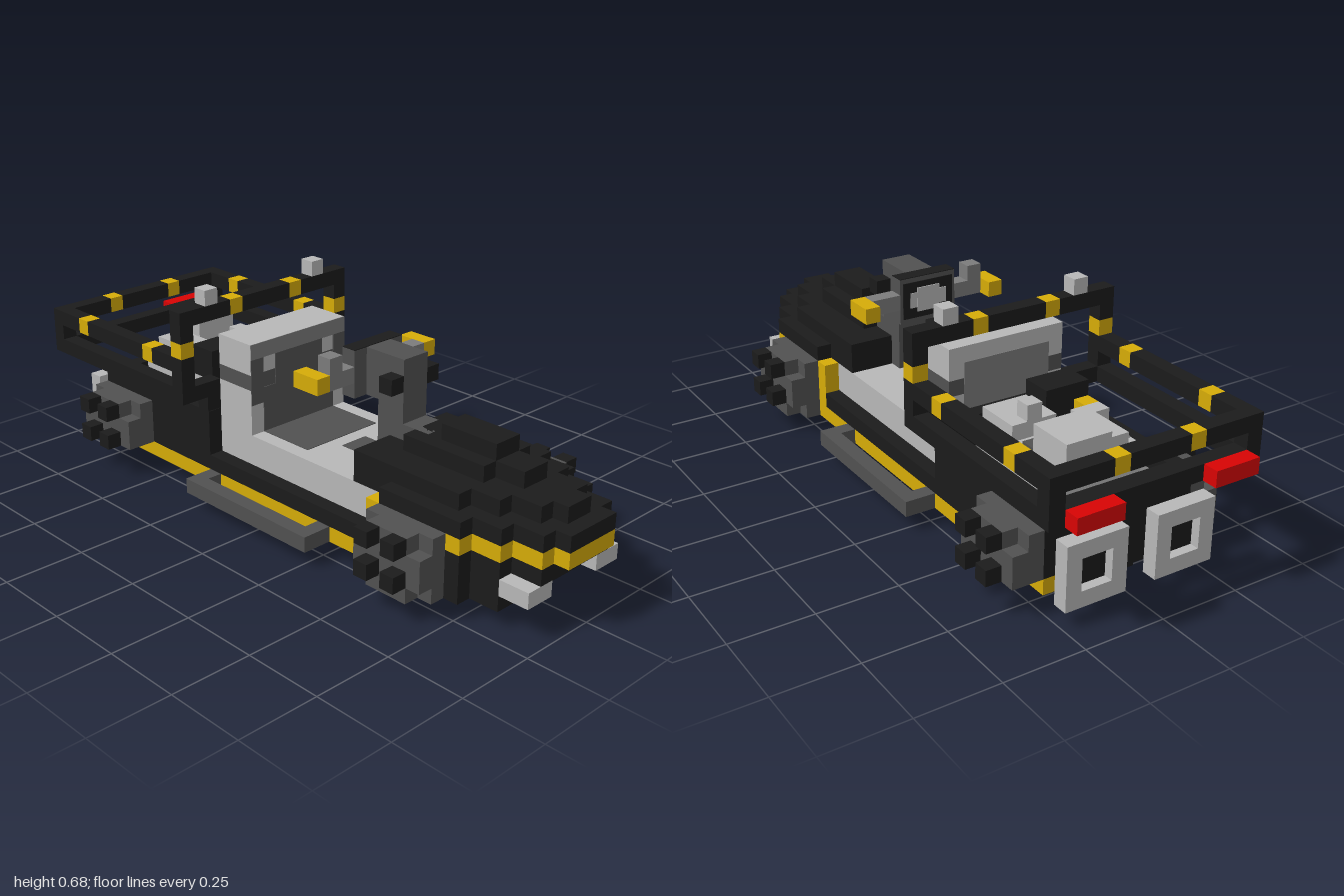
import * as THREE from 'three';

const V = 2 / 41; // edge of one block
const mat = (name, color) => {
  const m = new THREE.MeshStandardMaterial({ color });
  m.name = name;
  return m;
};

export function createModel() {
  const root = new THREE.Group();
  root.name = 'hoverBike';
  const black = mat('black', 0x1b1b1b), yellow = mat('yellow', 0xd6ac08);
  const dark = mat('darkGrey', 0x515151), mid = mat('midGrey', 0x7c7c7c);
  const light = mat('lightGrey', 0xb8b8b8), red = mat('red', 0xd80404);

  // Box from block coordinates; z counts from the tail (0) to the nose (41)
  const box = (name, m, x0, x1, y0, y1, z0, z1) => {
    const g = new THREE.BoxGeometry((x1 - x0) * V, (y1 - y0) * V, (z1 - z0) * V);
    const o = new THREE.Mesh(g, m);
    o.name = name;
    o.position.set((x0 + x1) / 2 * V, (y0 + y1) / 2 * V, ((z0 + z1) / 2 - 20.5) * V);
    root.add(o);
  };
  const pair = (name, m, x0, x1, ...r) => {
    box(name, m, x0, x1, ...r);
    box(name, m, -x1, -x0, ...r);
  };
  // Stepped nose layer: side strips shorten away from the middle
  const layer = (name, m, y0, y1, z0, ends) => {
    ends.forEach(([x0, x1, z1, start]) => pair(name, m, x0, x1, y0, y1, start ?? z0, z1));
  };

  // Nose
  layer('noseBase', black, 1, 4, 30, [[0, 4, 38], [4, 5, 36]]);
  box('noseLip', black, -3, 3, 3, 4, 38, 40);
  layer('noseStripe', yellow, 4, 5, 30, [[0, 2, 41], [2, 3, 40], [3, 4, 38], [4, 5, 36]]);
  layer('hoodLower', black, 5, 6, 27, [[0, 2, 41], [2, 3, 40], [3, 4, 38], [4, 5, 36, 30]]);
  layer('hoodMiddle', black, 6, 7, 27, [[0, 1, 40], [1, 2, 39], [2, 3, 37], [3, 4, 35]]);
  layer('hoodUpper', black, 7, 8, 29, [[0, 1, 37], [1, 2, 35]]);
  box('hoodTop', black, -1, 1, 8, 9, 31, 35);
  pair('headlight', light, 2, 4, 2, 3, 38, 40);

  // Chassis floor, cross bars and painted rails
  box('floor', black, -4, 4, 2, 3, 4, 30);
  pair('sill', black, 4, 5, 2, 3, 15, 29);
  for (let z = 4; z < 30; z += 5) box('crossBar', black, -4, 4, 1, 2, z, z + 1);
  pair('rail', yellow, 4, 5, 1, 2, 4, 30);
  pair('railLining', black, 3.85, 4, 1, 2, 4, 30);
  pair('railUpright', yellow, 4, 5, 2, 5, 29, 30);
  box('skid', black, -2, 2, 0, 2, 5, 9);

  // Footrests
  pair('footrest', dark, 6, 7, 1, 2, 15, 26);
  for (const z of [15, 25]) pair('footrestArm', dark, 5, 6, 1, 2, z, z + 1);

  // Hubs with four studs each; the rear ones sit above the rail
  for (const [z, y0] of [[4, 2], [30, 1]]) {
    pair('hub', dark, 5, 6, y0, 5, z, z + 5);
    pair('hubOuter', dark, 6, 7, y0, 5, z + 1, z + 4);
    for (const e of [0, 4]) pair('hubOuterEnd', dark, 6, 7, 2, 4, z + e, z + e + 1);
    for (const dz of [1, 3]) for (const y of [2, 4]) pair('stud', black, 7, 8, y, y + 1, z + dz, z + dz + 1);
  }

  // Seat
  box('seatBase', light, -4, 4, 3, 5, 15, 29);
  box('cushion', dark, -3, 3, 5, 5.04, 18, 22);
  box('floorPad', dark, -1, 1, 5, 5.04, 23, 24);
  box('backrestLower', light, -4, 4, 5, 8, 15, 18);
  box('backrestBand', dark, -4, 4, 8, 9, 15, 18);
  box('backrestUpper', light, -4, 4, 9, 11, 15, 18);
  box('backrestPad', dark, -3, 3, 5, 8, 18, 18.05);
  pair('backrestPadSide', dark, 3, 4, 7, 10, 18, 18.05);
  box('backrestPadCentre', dark, -2, 2, 8, 10, 18, 18.05);
  box('backrestTopPad', mid, -4, 4, 10, 11, 18, 18.05);
  box('backrestRear', mid, -3, 3, 7, 10, 14.95, 15);

  // Steering
  box('steeringPost', dark, -1, 1, 5, 9, 26, 28);
  box('steeringBrace', dark, -1, 1, 7, 8, 28, 30);
  box('steeringHead', dark, -1, 1, 9, 12, 25, 28);
  pair('headStud', black, 1, 2, 10, 11, 27, 28);
  box('dashboard', dark, -2, 2, 9, 12, 24, 25);
  box('dashboardTop', black, -2, 2, 12, 12.04, 24, 25);
  box('dashboardFace', black, -1.8, 1.8, 9.3, 11.7, 23.95, 24);
  box('gauge', light, -1.3, 1.3, 10, 11, 23.9, 23.95);
  box('gaugeMiddle', light, -0.8, 0.8, 9.7, 11.3, 23.88, 23.95);
  pair('handlebar', mid, 2, 4, 10, 11, 24, 25);
  box('lever', mid, -4, -3, 11, 12, 24, 25);
  pair('grip', yellow, 4, 5, 10, 11, 23, 25);

  // Rear bay walls
  pair('bayWall', black, 4, 5, 2, 6, 4, 15);
  box('bayBack', black, -4, 4, 3, 6, 4, 5);
  box('bayFront', black, -5, 5, 5, 7, 14, 14.95);
  box('bayFloor', mid, -4, 4, 3, 5, 5, 14);

  // Engine
  box('engineBlock', light, -3, 3, 5, 7, 6, 13);
  box('engineRear', light, 0, 3, 7, 9, 5, 8);
  box('engineRearSide', light, -2, 0, 7, 8, 6, 9);
  box('engineCap', light, -3, -1, 7, 8, 9, 10);
  box('engineCornerPlate', mid, -3, -2, 7, 7.04, 7, 9);
  box('engineMiddlePlate', mid, -2, 0, 7, 7.04, 10, 11);
  box('engineBridge', dark, 0, 3, 6.5, 7.5, 8, 9);
  box('engineFront', light, 0, 3, 7, 8, 10, 13);
  box('engineStack', light, 1, 2, 8, 9, 10, 11);
  box('battery', black, -3, 0, 7, 9, 11, 13);
  box('batteryTerminal', yellow, -3, -2, 7, 8, 10, 11);

  // Roll hoop
  pair('hoopPost', black, 6, 7, 7, 10, 14, 15);
  pair('hoopPostStripe', yellow, 6, 7, 10, 11, 14, 15);
  pair('hoopPostTop', black, 6, 7, 11, 13, 14, 15);
  pair('hoopFoot', black, 4, 6, 7, 8, 14, 15);
  box('hoopBar', black, -2, 2, 12, 13, 14, 15);
  pair('hoopBarStripe', yellow, 2, 3, 12, 13, 14, 15);
  pair('hoopBarEnd', black, 3, 6, 12, 13, 14, 15);
  pair('beacon', light, 4, 5, 13, 14, 14, 15);

  // Rear cage
  for (const [z0, z1, m] of [[1, 4, black], [4, 5, yellow], [5, 11, black], [11, 12, yellow], [12, 14, black]])
    pair('cageUpperRail', m, 6, 7, 9, 10, z0, z1);
  pair('cageLowerRail', black, 6, 7, 7, 8, 1, 14);
  pair('cagePost', black, 6, 7, 8, 9, 1, 2);
  box('cageBackBar', black, -2, 2, 9, 10, 1, 2);
  pair('cageBackStripe', yellow, 2, 3, 9, 10, 1, 2);
  pair('cageBackEnd', black, 3, 6, 9, 10, 1, 2);
  box('cageLowerBack', black, -6, 6, 7, 8, 1, 2);
  pair('tailLight', red, 3, 6, 7, 8, 0, 1);

  // Square exhausts
  pair('exhaustPipe', black, 2, 4, 2, 4, 2.6, 4);
  for (const y of [1, 4]) pair('exhaustRim', light, 1, 5, y, y + 1, 2, 3);
  for (const x of [1, 4]) pair('exhaustRimSide', light, x, x + 1, 2, 4, 2, 3);

  return root;
}
